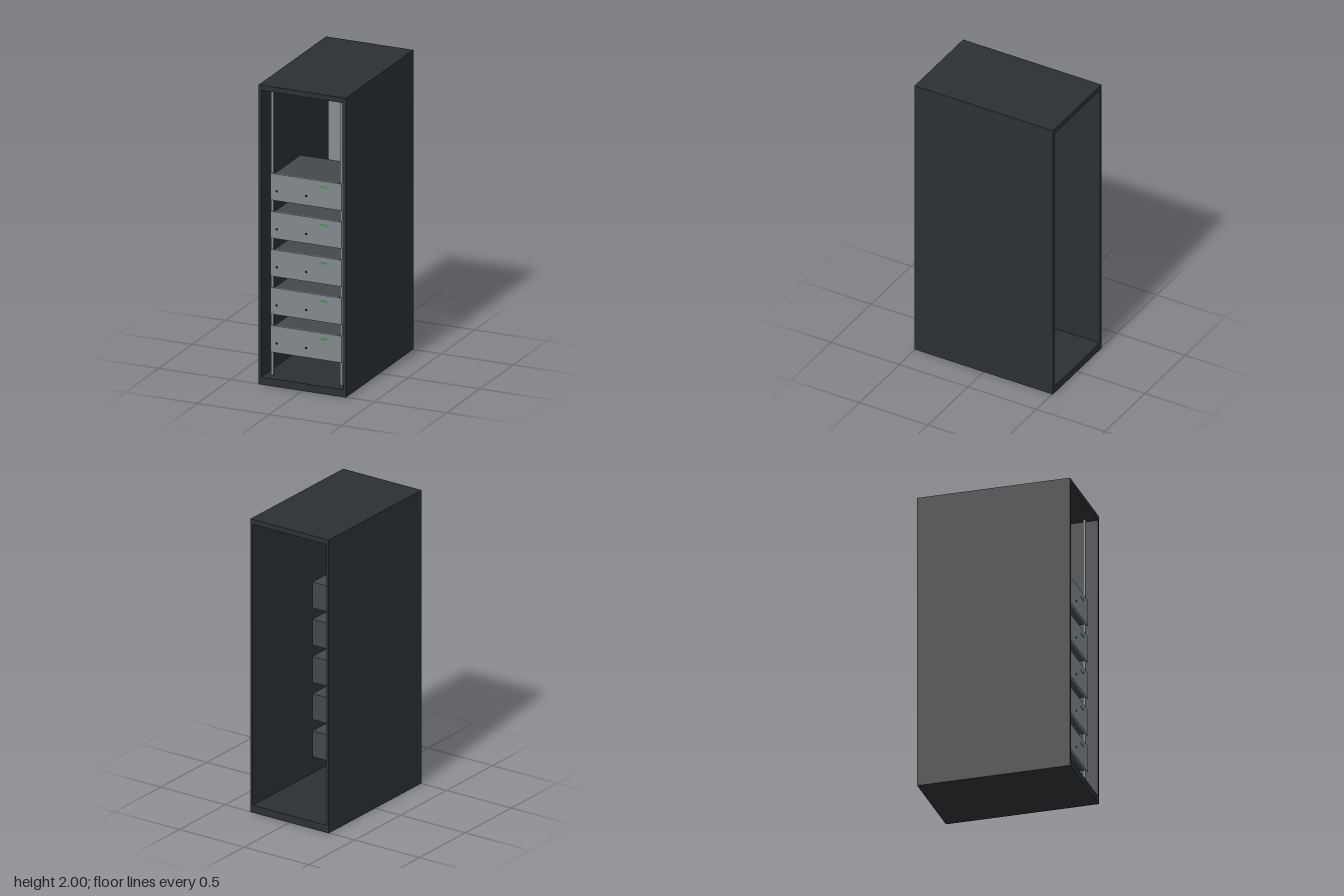
import * as THREE from 'three';

const paint = (color) => new THREE.MeshStandardMaterial({ color });

export function createModel() {
  const cabinetMat = paint(0x2b3033);
  const railMat = paint(0x81888b);
  const panelMat = paint(0x81888c);
  const bodyMat = paint(0x42484b);
  const darkMat = paint(0x15181a);
  const greenMat = paint(0x2fa84f);

  // Box given by its min and max on each axis
  const box = (parent, name, mat, [x0, x1], [y0, y1], [z0, z1]) => {
    const mesh = new THREE.Mesh(new THREE.BoxGeometry(x1 - x0, y1 - y0, z1 - z0), mat);
    mesh.position.set((x0 + x1) / 2, (y0 + y1) / 2, (z0 + z1) / 2);
    mesh.name = name;
    parent.add(mesh);
    return mesh;
  };

  const model = new THREE.Group();
  model.name = 'equipmentRack';

  // Cabinet shell, open at front and back
  const W = 0.303, D = 0.505, wall = 0.018, floorTop = 0.05, roofBottom = 1.965;
  const cabinet = new THREE.Group();
  cabinet.name = 'cabinet';
  model.add(cabinet);
  box(cabinet, 'floor', cabinetMat, [-W, W], [0, floorTop], [-D, D]);
  box(cabinet, 'roof', cabinetMat, [-W, W], [roofBottom, 2], [-D, D]);
  box(cabinet, 'rightWall', cabinetMat, [-W, -W + wall], [floorTop, roofBottom], [-D, D]);
  box(cabinet, 'leftWall', cabinetMat, [W - wall, W], [floorTop, roofBottom], [-D, D]);

  // Upright mounting rails behind the front opening
  box(model, 'rightRail', railMat, [-0.247, -0.23], [floorTop, 1.955], [0.422, 0.439]);
  box(model, 'leftRail', railMat, [0.23, 0.247], [floorTop, 1.955], [0.422, 0.439]);

  // Stacked rack units
  const height = 0.178, front = 0.45;
  for (let i = 0; i < 5; i++) {
    const unit = new THREE.Group();
    unit.name = `rackUnit${i + 1}`;
    unit.position.y = 0.206 + i * 0.254;
    model.add(unit);
    box(unit, 'body', bodyMat, [-0.222, 0.222], [0.001, height - 0.001], [0.055, 0.44]);
    box(unit, 'frontPanel', panelMat, [-0.247, 0.247], [0, height], [0.439, front]);

    // Dark buttons on the panel
    for (const x of [-0.205, 0]) {
      box(unit, 'button', darkMat, [x - 0.006, x + 0.006], [0.058, 0.068], [front - 0.002, front + 0.003]);
    }
    // Row of green status lights
    for (let k = 0; k < 4; k++) {
      const x = 0.102 + k * 0.014;
      box(unit, 'statusLight', greenMat, [x, x + 0.01], [0.13, 0.141], [front - 0.002, front + 0.002]);
    }
  }

  return model;
}
